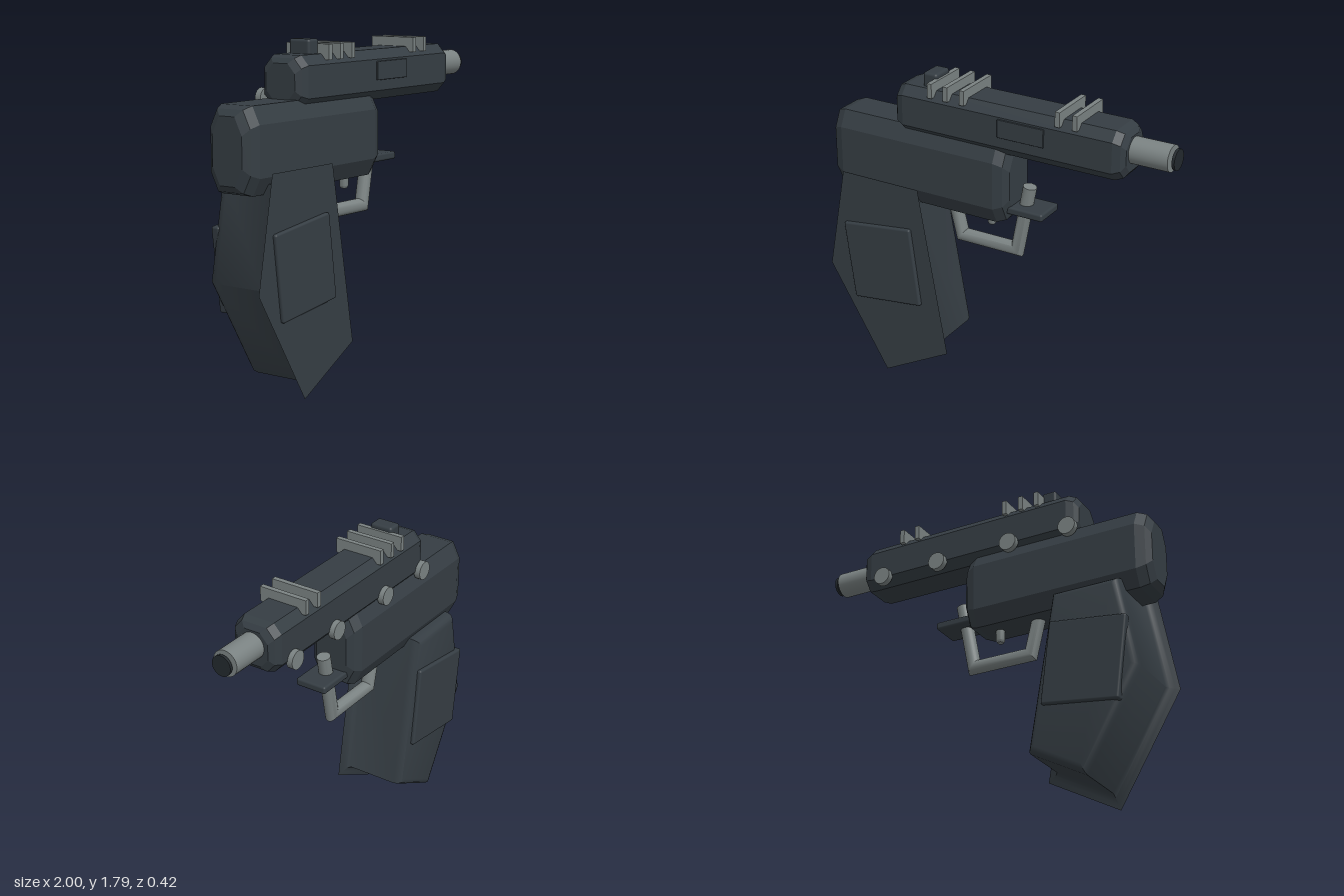
import * as THREE from 'three';
import { toCreasedNormals } from 'three/addons/utils/BufferGeometryUtils.js';
import { RoundedBoxGeometry } from 'three/addons/geometries/RoundedBoxGeometry.js';

const V = (x, y, z) => new THREE.Vector3(x, y, z);

// Closed skin over a series of convex rings, each counter-clockwise seen from the last ring
function loft(rings, crease) {
  const n = rings[0].length, last = (rings.length - 1) * n, index = [];
  for (let i = 0; i < rings.length - 1; i++) {
    for (let j = 0; j < n; j++) {
      const a = i * n + j, b = i * n + (j + 1) % n;
      index.push(a, b, b + n, a, b + n, a + n);
    }
  }
  for (let j = 1; j < n - 1; j++) {
    index.push(0, j + 1, j, last, last + j, last + j + 1);
  }
  const geo = new THREE.BufferGeometry().setFromPoints(rings.flat());
  geo.setIndex(index);
  return toCreasedNormals(geo, crease);
}

// Block with chamfered long edges and tapered ends, running along x
function chamferedBlock(x0, x1, y0, y1, halfZ, cutY, cutZ, end) {
  const cy = (y0 + y1) / 2, halfY = (y1 - y0) / 2;
  const ring = (x, inset) => {
    const h = halfY - inset, w = halfZ - inset;
    const ch = Math.min(cutY, h * 0.6), cw = Math.min(cutZ, w * 0.6);
    return [
      [h, -w + cw], [h, w - cw], [h - ch, w], [-h + ch, w],
      [-h, w - cw], [-h, -w + cw], [-h + ch, -w], [h - ch, -w],
    ].map(([y, z]) => V(x, cy + y, z));
  };
  return loft([
    ring(x0, end), ring(x0 + end * 0.5, end * 0.35), ring(x0 + end * 1.5, 0),
    ring(x1 - end * 1.5, 0), ring(x1 - end * 0.5, end * 0.35), ring(x1, end),
  ], 0.2);
}

// Moves every side of a counter-clockwise outline inwards by d
function insetOutline(points, d, z) {
  const n = points.length;
  return points.map((p, i) => {
    const a = points[(i + n - 1) % n], b = points[(i + 1) % n];
    const n1 = new THREE.Vector2(a[1] - p[1], p[0] - a[0]).normalize();
    const n2 = new THREE.Vector2(p[1] - b[1], b[0] - p[0]).normalize();
    const m = n1.clone().add(n2).multiplyScalar(d / (1 + n1.dot(n2)));
    return V(p[0] + m.x, p[1] + m.y, z);
  });
}

// Round bar with mitred corners along a path in the xy plane
function mitredBar(path, radius, sides) {
  const normal = (a, b) => new THREE.Vector2(b[1] - a[1], a[0] - b[0]).normalize();
  const rings = path.map((p, i) => {
    const n1 = normal(path[Math.max(i - 1, 0)], path[Math.max(i, 1)]);
    const k = Math.min(i, path.length - 2);
    const n2 = normal(path[k], path[k + 1]);
    const m = n1.clone().add(n2).divideScalar(1 + n1.dot(n2));
    return Array.from({ length: sides }, (_, j) => {
      const t = j / sides * Math.PI * 2, s = Math.sin(t) * radius;
      return V(p[0] + m.x * s, p[1] + m.y * s, Math.cos(t) * radius);
    });
  });
  return loft(rings, 0.6);
}

export function createModel() {
  const group = new THREE.Group();
  const material = (name, color) => {
    const m = new THREE.MeshStandardMaterial({ color });
    m.name = name;
    return m;
  };
  const dark = material('dark slate', 0x353d43);
  const metal = material('grey metal', 0x7a8282);
  const black = material('muzzle black', 0x23292d);

  const add = (name, geo, mat, x = 0, y = 0, z = 0) => {
    const mesh = new THREE.Mesh(geo, mat);
    mesh.name = name;
    mesh.position.set(x, y, z);
    group.add(mesh);
    return mesh;
  };

  // Main bodies
  add('receiver', chamferedBlock(-1, 0.1, 1.06, 1.5, 0.143, 0.09, 0.045, 0.05), dark);
  add('slide', chamferedBlock(-0.59, 0.76, 1.455, 1.72, 0.132, 0.05, 0.045, 0.04), dark);
  add('slidePanel', new RoundedBoxGeometry(0.27, 0.1, 0.02, 2, 0.004), dark, 0.185, 1.61, 0.13);

  // Barrel and muzzle
  add('barrel', new THREE.CylinderGeometry(0.07, 0.07, 0.27, 32), metal, 0.835, 1.6, 0)
    .rotation.z = -Math.PI / 2;
  add('muzzle', new THREE.CylinderGeometry(0.055, 0.055, 0.015, 32), black, 0.9925, 1.6, 0)
    .rotation.z = -Math.PI / 2;

  // Cross ribs and rear sight
  for (const x of [-0.355, -0.26, -0.16, 0.397, 0.495]) {
    add('rib', new THREE.BoxGeometry(0.027, 0.08, 0.274), metal, x, 1.73, 0);
  }
  add('rearSight', new RoundedBoxGeometry(0.085, 0.1, 0.13, 3, 0.015), dark, -0.398, 1.745, 0);

  // Round studs on the far side
  for (const x of [-0.545, -0.19, 0.255, 0.61]) {
    add('stud', new THREE.CylinderGeometry(0.05, 0.05, 0.035, 24), metal, x, 1.5, -0.143)
      .rotation.x = Math.PI / 2;
  }

  // Grip: flared front face, rounded back edge
  const outline = [[-0.89, 1.175], [-1, 0.59], [-0.645, 0], [-0.24, 0.22], [-0.41, 1.175]];
  const sections = [
    [-0.19, 0.1], [-0.183, 0.08], [-0.165, 0.067], [-0.14, 0.062],
    [0.15, 0.062], [0.168, 0.048], [0.18, 0.025], [0.19, 0],
  ];
  add('grip', loft(sections.map(([z, d]) => insetOutline(outline, d, z)), 0.8), dark);
  for (const side of [1, -1]) {
    add('gripPanel', new RoundedBoxGeometry(0.435, 0.455, 0.05, 3, 0.012), dark,
      -0.645, 0.68, side * 0.185).rotation.z = 0.13;
  }

  // Trigger guard, trigger and front rest
  add('triggerGuard', mitredBar([[-0.31, 1.14], [-0.245, 0.88], [0.098, 0.88], [0.17, 1.26]], 0.037, 20), metal);
  const triggerProfile = [[0, 0], [0.017, 0], [0.024, 0.012], [0.024, 0.1], [0, 0.1]]
    .map(([r, y]) => new THREE.Vector2(r, y));
  add('trigger', toCreasedNormals(new THREE.LatheGeometry(triggerProfile, 16), 0.6), metal, -0.061, 0.99, 0);
  add('frontRest', new RoundedBoxGeometry(0.24, 0.042, 0.18, 3, 0.012), dark, 0.17, 1.137, 0);

  return group;
}
